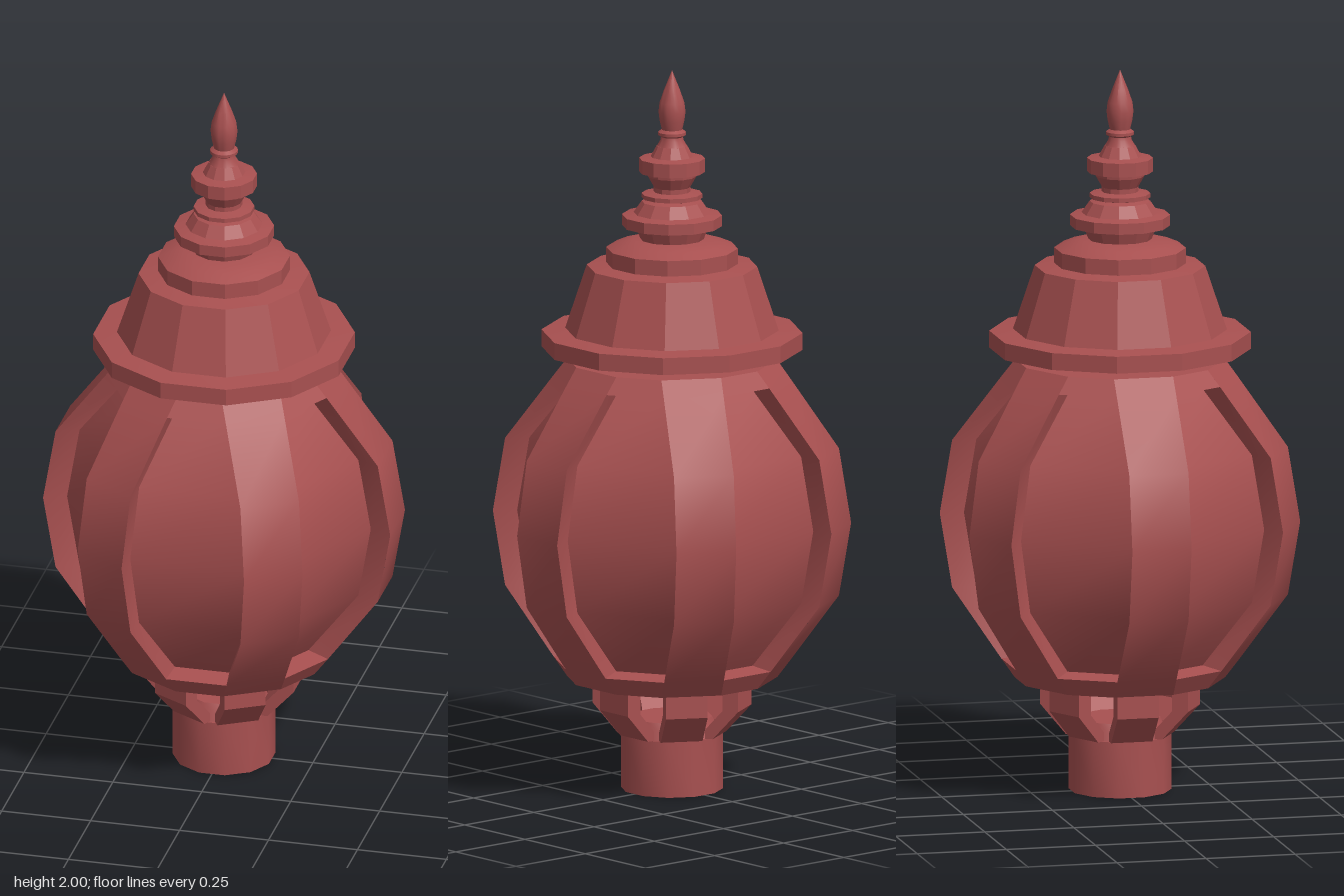
import * as THREE from 'three';
import { toCreasedNormals } from 'three/addons/utils/BufferGeometryUtils.js';

const material = new THREE.MeshStandardMaterial({ color: 0xa85050 });

function addMesh(parent, name, geometry) {
  const mesh = new THREE.Mesh(geometry, material);
  mesh.name = name;
  parent.add(mesh);
  return mesh;
}

// Surface through rows of points: rows run upward, points run left to right seen from outside
function rowSurface(rows, crease = 0.52) {
  const pos = [];
  for (let r = 0; r < rows.length - 1; r++) {
    for (let c = 0; c < rows[r].length - 1; c++) {
      const a = rows[r][c], b = rows[r][c + 1], d = rows[r + 1][c], e = rows[r + 1][c + 1];
      pos.push(...a, ...b, ...e, ...a, ...e, ...d);
    }
  }
  const g = new THREE.BufferGeometry();
  g.setAttribute('position', new THREE.Float32BufferAttribute(pos, 3));
  return toCreasedNormals(g, crease);
}

// Turned part; profile of [radius, y] from bottom to top
function turned(profile, sides, crease) {
  const pts = profile.map(([r, y]) => new THREE.Vector2(r, y));
  const g = new THREE.LatheGeometry(pts, sides, Math.PI / sides);
  return toCreasedNormals(g, crease);
}

export function createModel() {
  const model = new THREE.Group();
  model.name = 'lantern';

  // Base post and the plug inside the brackets
  addMesh(model, 'basePost', turned([[0, 0], [0.14, 0], [0.14, 0.155], [0, 0.155]], 12, 0.6));
  addMesh(model, 'basePlug', turned([[0.135, 0.15], [0.11, 0.2], [0, 0.2]], 12, 0.6));

  // Six bent brackets carrying the lantern body
  const bracketShape = new THREE.Shape([
    [0.115, 0.155], [0.137, 0.155], [0.21, 0.235], [0.21, 0.315],
    [0.165, 0.315], [0.165, 0.235], [0.115, 0.18],
  ].map(([x, y]) => new THREE.Vector2(x, y)));
  const bracketGeo = new THREE.ExtrudeGeometry(bracketShape, { depth: 0.116, bevelEnabled: false });
  bracketGeo.translate(0, 0, -0.058);

  // Body outline: [rib radius, y]; windows lie between the second and the second last
  const outline = [
    [0.275, 0.31], [0.313, 0.36], [0.453, 0.55], [0.488, 0.755],
    [0.453, 0.96], [0.309, 1.15], [0.274, 1.195],
  ];
  const ribHalf = 0.083, depth = 0.066, inset = 0.008;
  const last = outline.length - 1;
  const bottomY = outline[0][1], topY = outline[last][1];
  const centreRow = (y, n) => Array.from({ length: n }, () => [0, y, 0]);

  // Flat rib facing +x, closed toward the axis at both ends
  const ribGeo = rowSurface([
    centreRow(bottomY, 2),
    ...outline.map(([r, y]) => [[r, y, ribHalf], [r, y, -ribHalf]]),
    centreRow(topY, 2),
  ]);

  // Panel facing +z: rim, recess walls and sunken pane
  const panelRow = ([r, y], sunk, shift = 0) => {
    const h = r * 0.5 - ribHalf * 0.866;
    const z = r * 0.866 + ribHalf * 0.5;
    const zi = sunk ? z - depth : z;
    return [[-h, y, z], [-h + inset, y + shift, zi], [h - inset, y + shift, zi], [h, y, z]];
  };
  const panelGeo = rowSurface([
    centreRow(bottomY, 4),
    panelRow(outline[0], false),
    panelRow(outline[1], false),
    panelRow(outline[1], true, inset),
    ...outline.slice(2, last - 1).map((p) => panelRow(p, true)),
    panelRow(outline[last - 1], true, -inset),
    panelRow(outline[last - 1], false),
    panelRow(outline[last], false),
    centreRow(topY, 4),
  ]);

  for (let i = 0; i < 6; i++) {
    const angle = (i * Math.PI) / 3;
    addMesh(model, 'bracket', bracketGeo).rotation.y = angle;
    addMesh(model, 'rib', ribGeo).rotation.y = angle;
    addMesh(model, 'windowPanel', panelGeo).rotation.y = angle;
  }

  // Hexagonal neck between body and roof
  const neck = addMesh(model, 'neck', new THREE.CylinderGeometry(0.165, 0.165, 0.05, 6).toNonIndexed());
  neck.geometry.computeVertexNormals();
  neck.position.y = 1.21;

  // Twelve-sided roof with its stepped crown
  addMesh(model, 'roof', turned([
    [0, 1.225], [0.357, 1.225], [0.357, 1.272], [0.292, 1.278], [0.233, 1.455],
    [0.18, 1.462], [0.18, 1.505], [0.145, 1.52], [0.108, 1.53], [0, 1.53],
  ], 12, 0.3));

  // Stacked collars
  addMesh(model, 'collars', turned([
    [0.085, 1.525], [0.1, 1.565], [0.137, 1.567], [0.137, 1.597], [0.105, 1.603],
    [0.083, 1.635], [0.06, 1.64], [0.083, 1.645], [0.083, 1.657], [0.05, 1.662],
    [0.05, 1.675], [0.067, 1.705], [0.068, 1.715], [0.09, 1.717], [0.09, 1.755],
    [0.058, 1.76], [0.042, 1.79], [0, 1.795],
  ], 12, 0.3));

  // Smooth pointed finial
  addMesh(model, 'finial', turned([
    [0.042, 1.788], [0.032, 1.805], [0.03, 1.815], [0.038, 1.82], [0.038, 1.828],
    [0.028, 1.835], [0.034, 1.86], [0.037, 1.885], [0.034, 1.91], [0.022, 1.945],
    [0.01, 1.975], [0, 2],
  ], 20, 0.7));

  return model;
}
